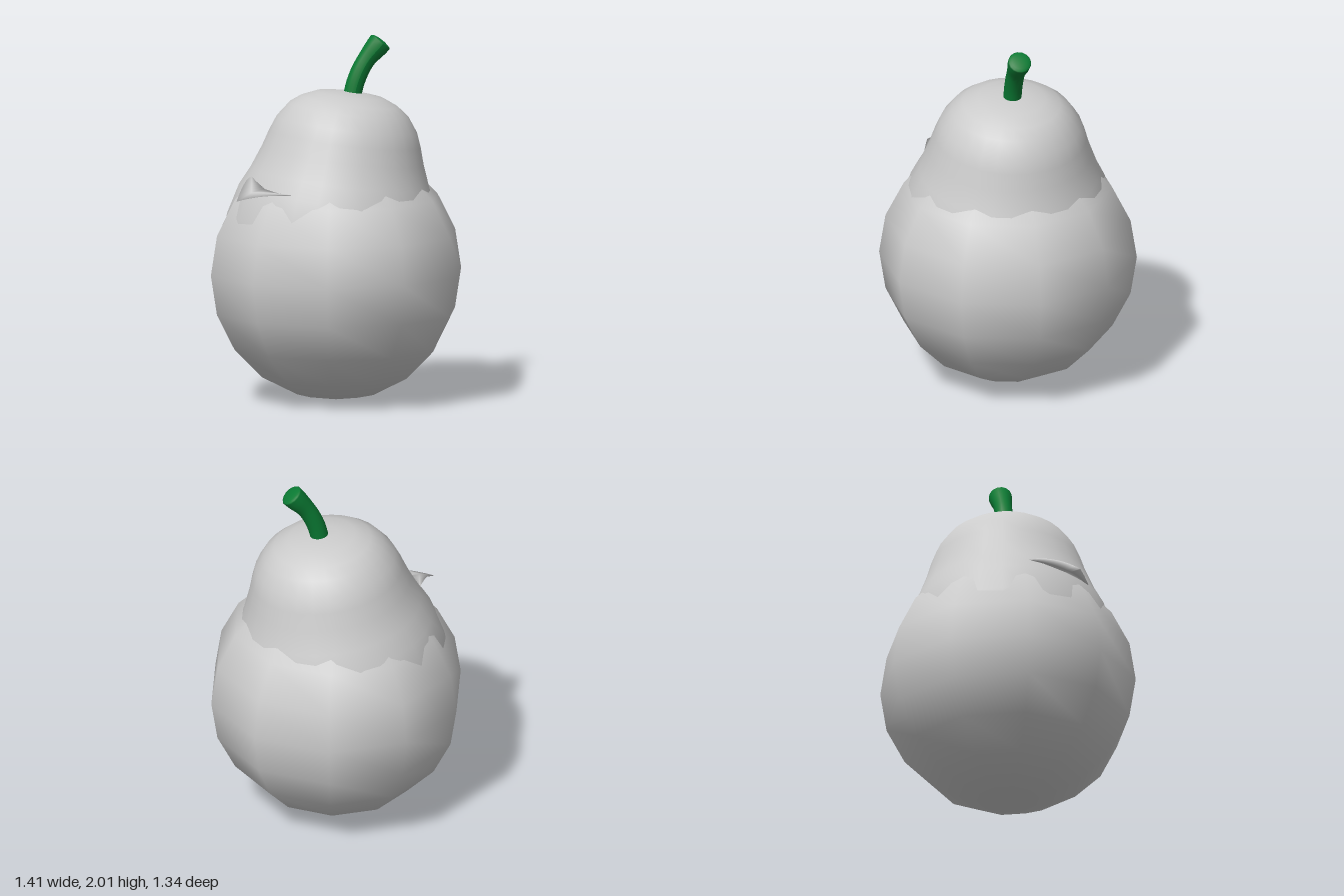
import * as THREE from 'three';

const V = (x, y, z) => new THREE.Vector3(x, y, z);

function addMesh(parent, name, geometry, material) {
  const mesh = new THREE.Mesh(geometry, material);
  mesh.name = name;
  parent.add(mesh);
  return mesh;
}

// Closed skin through cross-sections that all have the same number of points
function loft(sections) {
  const n = sections[0].length;
  const index = [];
  for (let i = 0; i < sections.length - 1; i++) {
    for (let j = 0; j < n; j++) {
      const a = i * n + j, b = i * n + (j + 1) % n;
      index.push(a, b, a + n, b, b + n, a + n);
    }
  }
  const geometry = new THREE.BufferGeometry().setFromPoints(sections.flat());
  geometry.setIndex(index);
  geometry.computeVertexNormals();
  return geometry;
}

// Curved leaf: inner edge hugs the neck, outer edge runs out to a pointed tip
function leafGeometry() {
  const back = V(-0.48, 1.26, 0.02), tip = V(-0.635, 1.16, 0.29), front = V(-0.32, 1.195, 0.4);
  const inner = new THREE.CatmullRomCurve3([back, V(-0.46, 1.235, 0.16), V(-0.43, 1.21, 0.28), front]);
  const outerA = new THREE.QuadraticBezierCurve3(back, V(-0.555, 1.27, 0.155), tip);
  const outerB = new THREE.QuadraticBezierCurve3(tip, V(-0.49, 1.205, 0.335), front);
  const sections = [];
  const steps = 20;
  for (let i = 0; i <= steps; i++) {
    const t = i / steps;
    const p = inner.getPoint(t);
    const q = t <= 0.5 ? outerA.getPoint(t * 2) : outerB.getPoint(t * 2 - 1);
    const mid = p.clone().lerp(q, 0.5);
    const h = 0.012 * Math.sin(Math.PI * t);
    sections.push([p, mid.clone().add(V(0, h, 0)), q, mid.clone().add(V(0, -h, 0))]);
  }
  return loft(sections);
}

// Bent stalk that flares at its upper end
function stemGeometry(path) {
  const rings = 12, sides = 16;
  const geometry = new THREE.TubeGeometry(path, rings, 0.05, sides);
  const pos = geometry.attributes.position;
  const v = V(0, 0, 0);
  for (let i = 0; i < pos.count; i++) {
    const t = Math.floor(i / (sides + 1)) / rings;
    const centre = path.getPointAt(t);
    const flare = 1 + 0.28 * THREE.MathUtils.smoothstep(t, 0.6, 1);
    v.fromBufferAttribute(pos, i).sub(centre).multiplyScalar(flare).add(centre);
    pos.setXYZ(i, v.x, v.y, v.z);
  }
  geometry.computeVertexNormals();
  return geometry;
}

export function createModel() {
  const model = new THREE.Group();
  model.name = 'pear';
  const grey = new THREE.MeshStandardMaterial({ color: 0xcccccc });
  const thin = new THREE.MeshStandardMaterial({ color: 0xcccccc, side: THREE.DoubleSide });
  const green = new THREE.MeshStandardMaterial({ color: 0x0a7a33 });

  // Round lower body with ten sides
  const body = addMesh(model, 'body', new THREE.SphereGeometry(0.707, 10, 10), grey);
  body.position.y = 0.712;

  // Tapering neck, leaning toward the left, with its base buried in the body
  const profile = [
    [0, -0.5], [0.5, -0.25], [0.6, 0], [0.59, 0.25], [0.545, 0.42], [0.495, 0.52],
    [0.447, 0.645], [0.418, 0.74], [0.387, 0.82], [0.33, 0.9], [0.27, 0.945],
    [0.185, 0.982], [0.09, 0.995], [0, 1],
  ].map(([r, y]) => new THREE.Vector2(r, y));
  const neck = addMesh(model, 'neck', new THREE.LatheGeometry(profile, 28), grey);
  neck.position.set(-0.045, 0.715, 0);
  neck.rotation.z = -0.13;

  // Stem with a domed cap on its cut end
  const stem = new THREE.Group();
  stem.name = 'stem';
  model.add(stem);
  const path = new THREE.CatmullRomCurve3([
    V(0.088, 1.67, 0), V(0.115, 1.77, 0), V(0.165, 1.87, 0), V(0.25, 1.972, 0),
  ]);
  addMesh(stem, 'stalk', stemGeometry(path), green);
  const cap = addMesh(stem, 'stalkCap', new THREE.SphereGeometry(0.064, 16, 8), green);
  cap.scale.y = 0.25;
  cap.position.copy(path.getPoint(1));
  cap.quaternion.setFromUnitVectors(V(0, 1, 0), path.getTangent(1));

  // Leaf on the right front of the neck
  addMesh(model, 'leaf', leafGeometry(), thin);

  return model;
}
